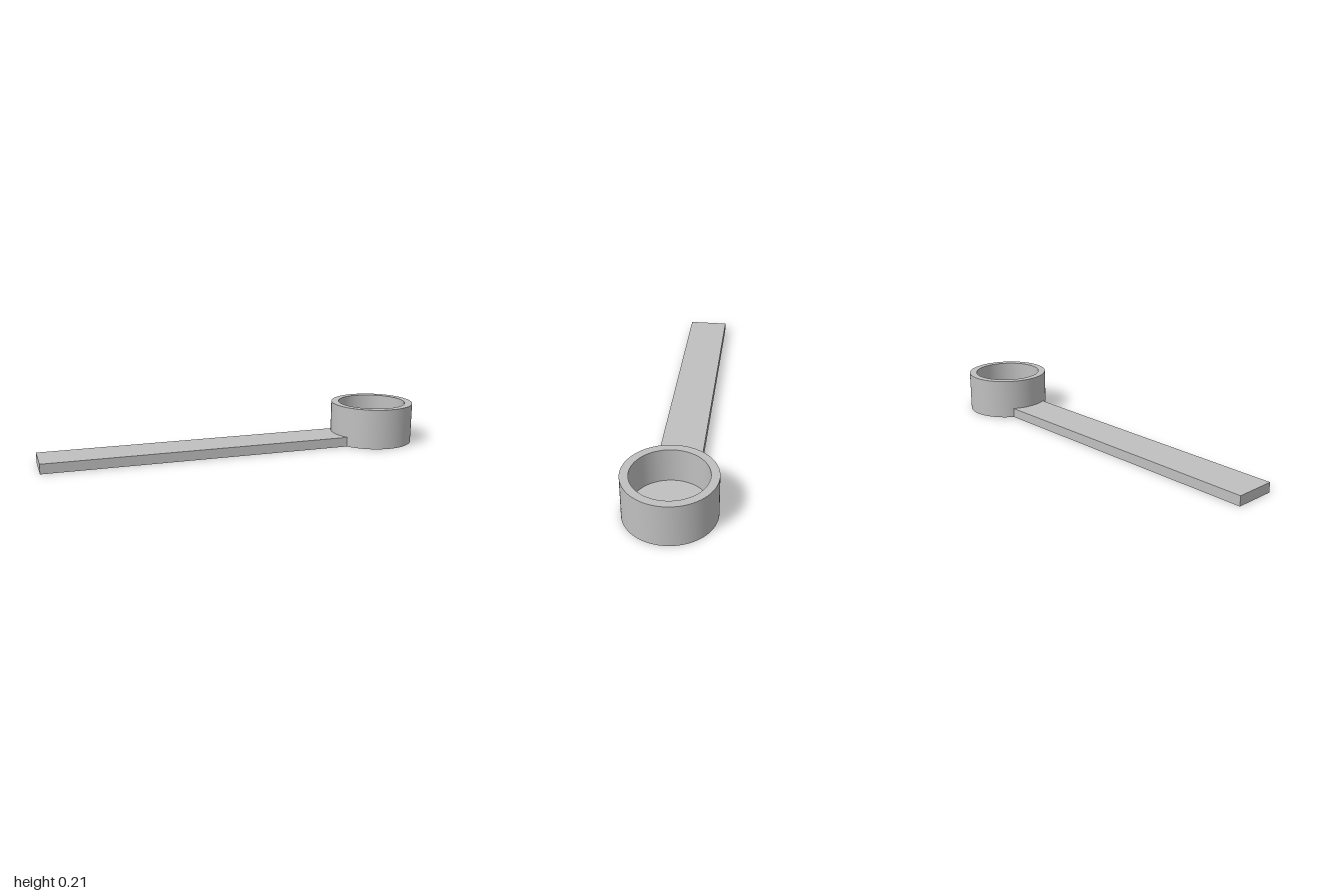
import * as THREE from 'three';
import { toCreasedNormals } from 'three/addons/utils/BufferGeometryUtils.js';

const CUP = { x: 0.783, outer: 0.217, inner: 0.178, height: 0.21, floor: 0.04 };
const HANDLE = { start: -1, end: 0.593, width: 0.21, thickness: 0.05 };

export function createModel() {
  const group = new THREE.Group();
  group.name = 'measuringScoop';
  const grey = new THREE.MeshStandardMaterial({ color: 0xc0c0c0 });
  grey.name = 'grey';

  // Round cup: closed floor, straight walls and flat rim
  const profile = [
    [0, 0], [CUP.outer, 0], [CUP.outer, CUP.height],
    [CUP.inner, CUP.height], [CUP.inner, CUP.floor], [0, CUP.floor],
  ].map(([r, y]) => new THREE.Vector2(r, y));
  const cup = new THREE.Mesh(toCreasedNormals(new THREE.LatheGeometry(profile, 96), 0.6), grey);
  cup.name = 'cup';
  cup.position.x = CUP.x;
  group.add(cup);

  // Flat handle, its end buried in the cup wall
  const length = HANDLE.end - HANDLE.start;
  const handle = new THREE.Mesh(new THREE.BoxGeometry(length, HANDLE.thickness, HANDLE.width), grey);
  handle.name = 'handle';
  handle.position.set(HANDLE.start + length / 2, HANDLE.thickness / 2, 0);
  group.add(handle);

  return group;
}
